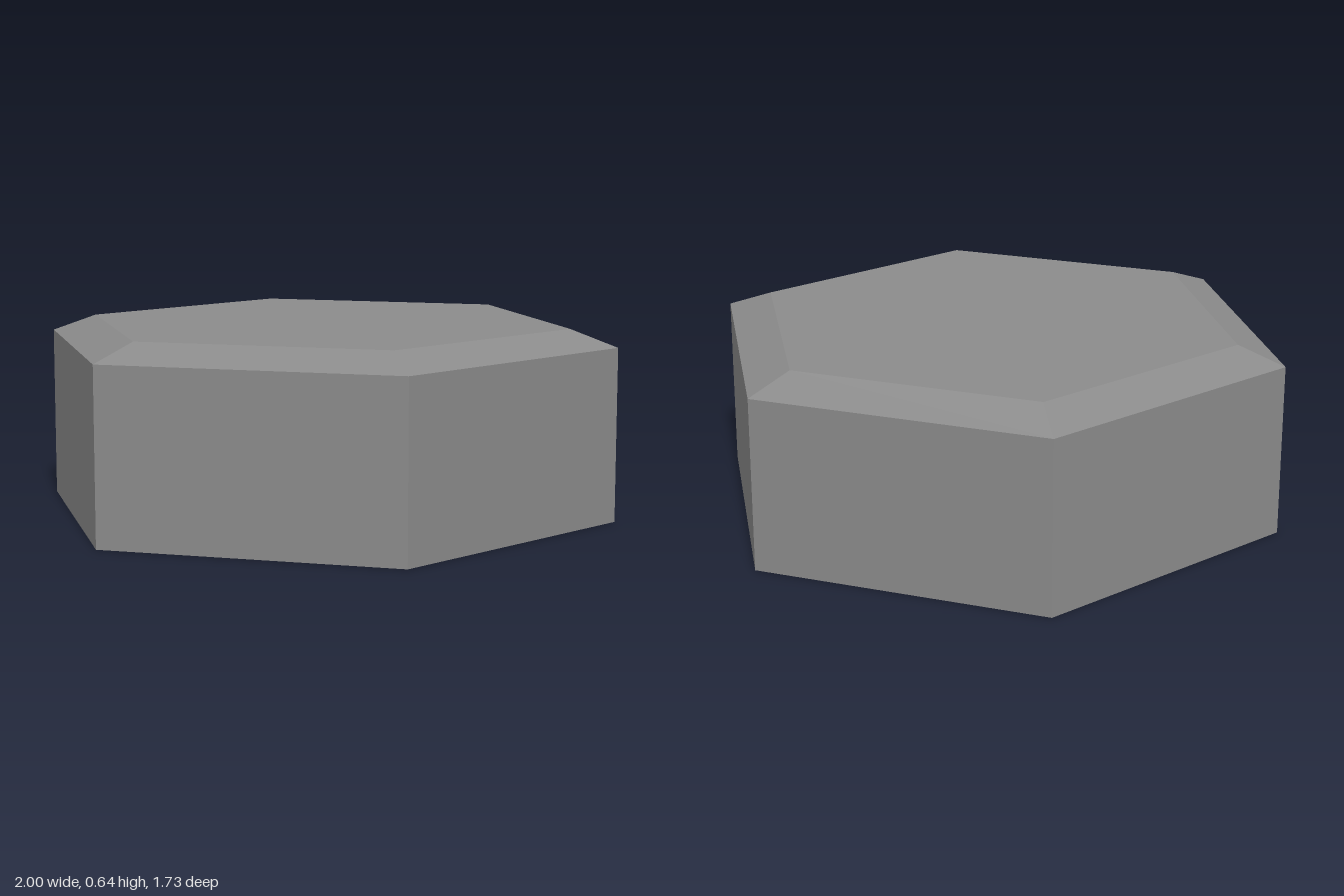
import * as THREE from 'three';

export function createModel() {
  const group = new THREE.Group();
  group.name = 'hexTile';

  // Half-section from the base centre, up the wall, over the chamfer to the top centre
  const profile = [
    [0, 0],
    [1, 0],
    [1, 0.583],
    [0.84, 0.641],
    [0, 0.641],
  ].map(([r, y]) => new THREE.Vector2(r, y));

  // Six sides, with corners on the x axis
  const geometry = new THREE.LatheGeometry(profile, 6, Math.PI / 2);
  const material = new THREE.MeshStandardMaterial({ color: 0x8b8b8b, flatShading: true });
  const prism = new THREE.Mesh(geometry, material);
  prism.name = 'chamferedHexPrism';
  group.add(prism);

  return group;
}
